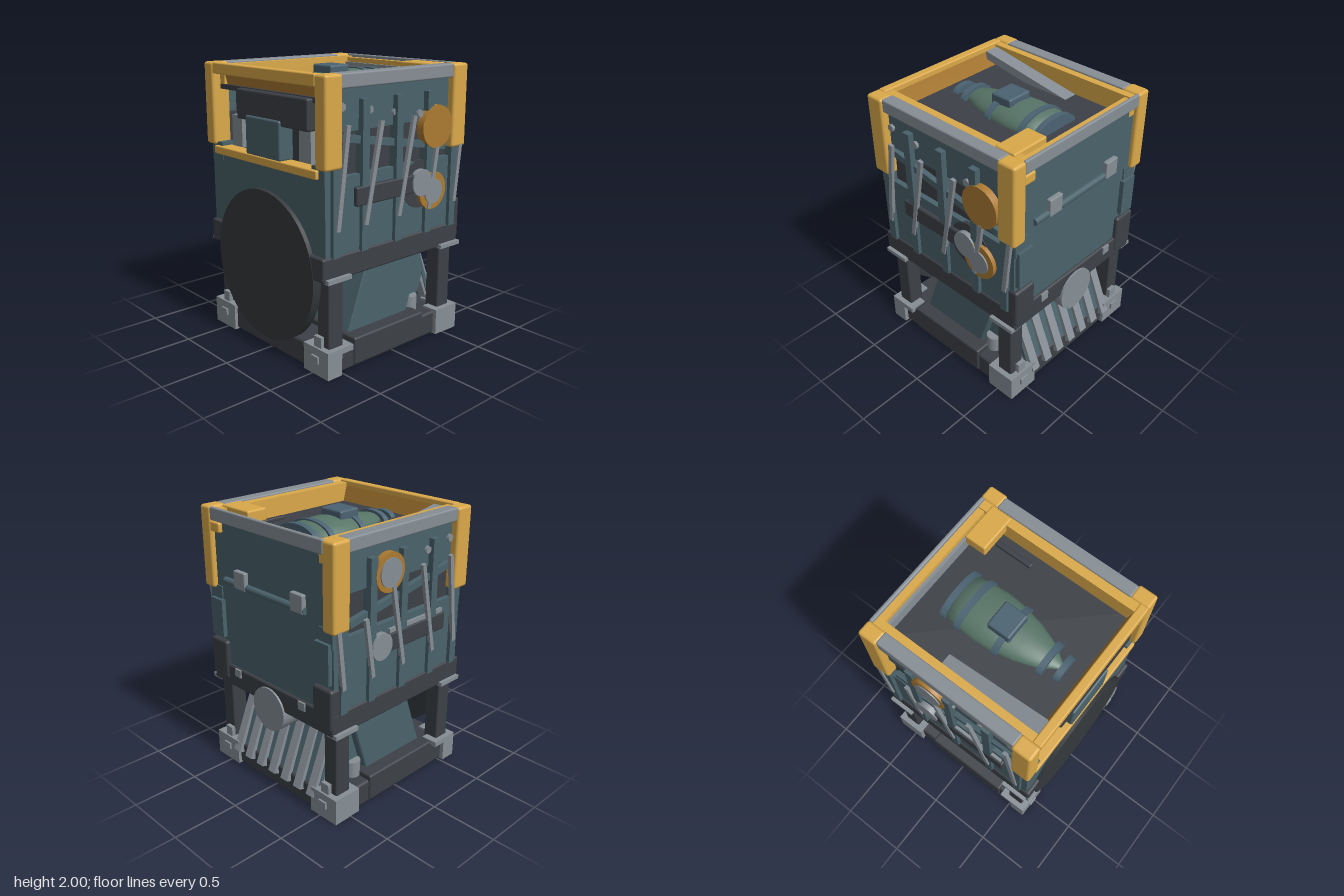
import * as THREE from 'three';
import { RoundedBoxGeometry } from 'three/addons/geometries/RoundedBoxGeometry.js';

const mat = (name, color) => Object.assign(new THREE.MeshStandardMaterial({ color }), { name });
const M = {
  teal: mat('teal panel', 0x4a626b),
  dark: mat('dark frame', 0x3c4046),
  black: mat('dark disc', 0x35393d),
  grey: mat('bare metal', 0x868e95),
  yellow: mat('yellow paint', 0xdaa94a),
  orange: mat('orange paint', 0xab7a32),
  green: mat('green tank', 0x577467),
  blue: mat('blue band', 0x4a6271),
};

export function createModel() {
  const root = new THREE.Group();
  root.name = 'industrialMachine';

  const add = (name, geo, m, x = 0, y = 0, z = 0) => {
    const mesh = new THREE.Mesh(geo, m);
    mesh.name = name;
    mesh.position.set(x, y, z);
    root.add(mesh);
    return mesh;
  };
  // Box given by its extents, rounded when r > 0
  const box = (name, m, x0, x1, y0, y1, z0, z1, r = 0) => {
    const w = x1 - x0, h = y1 - y0, d = z1 - z0;
    const geo = r ? new RoundedBoxGeometry(w, h, d, 2, r) : new THREE.BoxGeometry(w, h, d);
    return add(name, geo, m, (x0 + x1) / 2, (y0 + y1) / 2, (z0 + z1) / 2);
  };
  // Box on the front or back: z0..z1 measured outwards
  const sideBox = (name, m, s, x0, x1, y0, y1, z0, z1, r = 0) =>
    box(name, m, x0, x1, y0, y1, Math.min(s * z0, s * z1), Math.max(s * z0, s * z1), r);
  // Slanted bar in the xy plane
  const bar = (name, m, xa, ya, xb, yb, w, d, z) => {
    const mesh = add(name, new THREE.BoxGeometry(Math.hypot(xb - xa, yb - ya), w, d), m, (xa + xb) / 2, (ya + yb) / 2, z);
    mesh.rotation.z = Math.atan2(yb - ya, xb - xa);
    return mesh;
  };
  const discZ = (name, m, x, y, s, z0, z1, r, n = 40) =>
    add(name, new THREE.CylinderGeometry(r, r, z1 - z0, n).rotateX(Math.PI / 2), m, x, y, s * (z0 + z1) / 2);
  const discX = (name, m, x0, x1, y, z, r) =>
    add(name, new THREE.CylinderGeometry(r, r, x1 - x0, 48).rotateZ(Math.PI / 2), m, (x0 + x1) / 2, y, z);

  // Base, belt and main body
  box('basePlate', M.dark, -0.62, 0.62, 0.003, 0.18, -0.63, 0.63, 0.02);
  box('baseStep', M.dark, -0.39, 0.29, 0.02, 0.22, -0.645, 0.645, 0.015);
  box('belt', M.dark, -0.664, 0.65, 0.675, 0.84, -0.637, 0.637, 0.015);
  box('lowerBody', M.teal, -0.635, 0.63, 0.8, 1.35, -0.625, 0.625);
  box('innerCore', M.dark, -0.46, 0.58, 1.34, 1.83, -0.57, 0.57);
  box('trayFloor', M.dark, -0.6, 0.6, 1.81, 1.845, -0.57, 0.57);
  box('rightWall', M.teal, 0.585, 0.63, 1.34, 1.95, -0.6, 0.6);

  // Corners: legs, feet, blocks and yellow brackets
  for (const sx of [-1, 1]) for (const sz of [-1, 1]) {
    const c = (name, m, x0, x1, y0, y1, z0, z1, r) =>
      sideBox(name, m, sz, sx > 0 ? x0 : -x1, sx > 0 ? x1 : -x0, y0, y1, z0, z1, r);
    c('leg', M.dark, 0.475, 0.6, 0.1, 0.69, 0.5, 0.62, 0.012);
    c('foot', M.grey, 0.52, 0.645, 0, 0.195, 0.41, 0.66);
    c('footWing', M.grey, 0.42, 0.54, sx > 0 ? 0.003 : 0.155, 0.195, 0.53, 0.66);
    c('footClamp', M.grey, 0.6, 0.63, 0.18, 0.27, 0.5, 0.57);
    c('footLug', M.grey, 0.64, 0.66, 0.09, 0.14, 0.5, 0.57);
    c('legCap', M.grey, 0.44, 0.645, 0.67, 0.7, 0.57, 0.665);
    c('cornerBracket', M.yellow, 0.521, 0.665, 1.41, 2, 0.555, 0.665, 0.02);
    c('cornerPanel', M.teal, 0.53, 0.64, 1.3, 1.43, 0.5, 0.625);
    if (sx > 0) {
      c('cornerBlock', M.dark, 0.55, 0.663, 0.72, 1.02, 0.455, 0.635, 0.02);
      c('cornerPlate', M.teal, 0.6, 0.663, 1.05, 1.335, 0.48, 0.61);
      c('beltClip', M.grey, 0.61, 0.66, 0.775, 0.835, 0.31, 0.375);
    }
  }

  // Front and back faces
  for (const s of [1, -1]) {
    sideBox('upperWall', M.teal, s, -0.6, 0.62, 1.63, 1.95, 0.57, 0.61);
    sideBox('recessPanel', M.dark, s, -0.55, 0.6, 1.34, 1.64, 0.56, 0.585);
    sideBox('topRail', M.grey, s, -0.53, 0.53, 1.905, 2, 0.555, 0.65, 0.012);
    for (const [x, top] of [[-0.56, 1.42], [-0.31, 1.83], [0, 1.83], [0.3, 1.83], [0.56, 1.45]])
      sideBox('verticalRib', M.teal, s, x - 0.03, x + 0.03, 0.83, top, 0.58, 0.652);
    for (const [xa, xb, top] of [[-0.555, -0.47, 1.68], [-0.31, -0.175, 1.68], [0, 0.135, 1.68], [0.3, 0.37, 1.44], [0.57, 0.62, 1.46]])
      bar('slantedRod', M.grey, xa, 1.01, xb, top, 0.033, 0.025, s * 0.652);
    bar('diagonalPipe', M.teal, -0.53, 1.605, 0.49, 1.425, 0.05, 0.04, s * 0.61);
    for (const [x, y] of [[-0.49, 1.79], [-0.255, 1.755], [-0.02, 1.715], [0.22, 1.68]])
      discZ('boltHead', M.grey, x, y, s, 0.6, 0.63, 0.028, 6);
    sideBox('darkBar', M.dark, s, s > 0 ? -0.39 : -0.44, 0.27, 1.14, 1.27, 0.6, 0.656, 0.012);
    discZ('greyKnob', M.grey, 0.22, 1.205, s, 0.61, 0.666, 0.095);
    discZ('smallDrum', M.grey, 0.31, 0.24, s, 0.42, 0.54, 0.06).rotation.x = Math.PI / 2;
    for (const x of [-0.34, 0.43])
      sideBox('hangingStrut', M.teal, s, x - 0.03, x + 0.03, 0.46, 0.69, 0.3, 0.36);
    // Rings around the hidden barrel
    for (const z of [0.25, 0.35, 0.45])
      discZ('barrelRing', M.teal, 0.13, 0.46, s, z - 0.03, z + 0.03, 0.315);
  }
  discZ('barrel', M.teal, 0.13, 0.46, 1, -0.46, 0.46, 0.285);
  discZ('darkGauge', M.dark, 0.23, 1.19, 1, 0.6, 0.63, 0.17);
  discZ('orangeCover', M.orange, 0.365, 1.58, 1, 0.6, 0.662, 0.15);
  discZ('orangeDial', M.orange, 0.34, 1.13, 1, 0.61, 0.655, 0.135);
  discZ('dialCap', M.grey, 0.34, 1.125, 1, 0.62, 0.665, 0.088);
  discZ('orangeRing', M.orange, 0.15, 1.7, -1, 0.6, 0.655, 0.135);
  discZ('ringCap', M.grey, 0.15, 1.7, -1, 0.6, 0.664, 0.1);
  sideBox('backPipe', M.grey, -1, -0.42, 0.13, 1.27, 1.3, 0.6, 0.645);

  // Leaning chute between base and belt
  const chute = new THREE.Shape([[-0.36, 0.17], [0.2, 0.17], [0.37, 0.69], [-0.17, 0.69]].map(p => new THREE.Vector2(...p)));
  add('chute', new THREE.ExtrudeGeometry(chute, { depth: 1.06, bevelEnabled: true, bevelSize: 0.01, bevelThickness: 0.01, bevelSegments: 1 }), M.teal, 0, 0, -0.53);

  // Sloped grille and drum on the right side
  bar('grilleBacking', M.teal, 0.4, 0.69, 0.6, 0.15, 0.03, 0.9, 0);
  for (let i = 0; i < 7; i++)
    bar('grilleBar', M.grey, 0.385, 0.69, 0.625, 0.11, 0.08, 0.07, 0.407 - i * 0.136);
  discX('sideDrum', M.grey, 0.33, 0.665, 0.65, 0, 0.163);

  // Handle and clip on the right wall
  const rod = add('handleRod', new THREE.CylinderGeometry(0.026, 0.026, 0.83, 16), M.teal, 0.635, 1.492, 0.035);
  rod.rotation.x = Math.PI / 2;
  for (const z of [0.265, -0.315])
    box('handleMount', M.grey, 0.61, 0.663, 1.47, 1.6, z - 0.06, z + 0.06, 0.008);
  box('yellowClip', M.yellow, 0.61, 0.66, 1.825, 1.9, 0.465, 0.57, 0.015);

  // Top rim
  box('rightTopRail', M.grey, 0.635, 0.662, 1.905, 2, -0.56, 0.56, 0.01);
  box('rightRim', M.yellow, 0.583, 0.637, 1.91, 1.975, -0.56, 0.56);
  box('innerStrip', M.grey, 0.56, 0.585, 1.83, 1.94, -0.5, 0.5);
  box('backRim', M.yellow, -0.6, 0.632, 1.84, 1.985, -0.565, -0.5);
  box('frontRim', M.yellow, -0.6, 0.632, 1.84, 1.985, 0.49, 0.56);
  box('leftRim', M.yellow, -0.663, -0.6, 1.92, 2, -0.56, 0.56, 0.01);
  bar('leftInnerRim', M.orange, -0.602, 1.96, -0.57, 1.84, 0.008, 1, 0);
  box('rimBlock', M.yellow, 0.4, 0.562, 1.91, 2, 0.26, 0.55, 0.012);

  // Left side: open bay, sill and large disc
  box('baySill', M.yellow, -0.663, -0.55, 1.345, 1.405, -0.57, 0.57, 0.01);
  box('bayDarkBox', M.dark, -0.645, -0.5, 1.63, 1.84, -0.3, 0.47, 0.015);
  box('bayTealBox', M.teal, -0.66, -0.54, 1.4, 1.67, -0.18, 0.2, 0.015);
  for (const z of [-0.42, 0.34])
    box('bayPost', M.grey, -0.56, -0.46, 1.4, 1.63, z - 0.06, z + 0.06);
  discX('largeDisc', M.black, -0.667, -0.6, 0.638, 0, 0.54);

  // Flattened tank half sunk in the tray
  const squash = 0.52, tankY = 1.84;
  const tank = [[0, -0.43], [0.025, -0.43], [0.1, -0.32], [0.155, -0.17], [0.19, 0], [0.2, 0.12], [0.19, 0.26], [0.17, 0.39], [0, 0.39]];
  add('tank', new THREE.LatheGeometry(tank.map(p => new THREE.Vector2(...p)), 32).rotateZ(-Math.PI / 2), M.green, 0, tankY, -0.03).scale.y = squash;
  for (const [x, r] of [[-0.455, 0.1], [-0.345, 0.133], [-0.045, 0.203], [0.25, 0.208], [0.372, 0.195]])
    discX('tankBand', M.blue, x - 0.022, x + 0.022, tankY, -0.03, r).scale.y = squash;
  box('tankBox', M.blue, -0.097, 0.078, 1.85, 1.985, -0.13, 0.07, 0.015);
  bar('leaningBeam', M.grey, -0.595, 1.94, 0.2, 1.81, 0.06, 0.11, -0.445);
  box('trayRod', M.dark, 0.13, 0.42, 1.84, 1.87, 0.39, 0.43, 0.01);

  return root;
}
